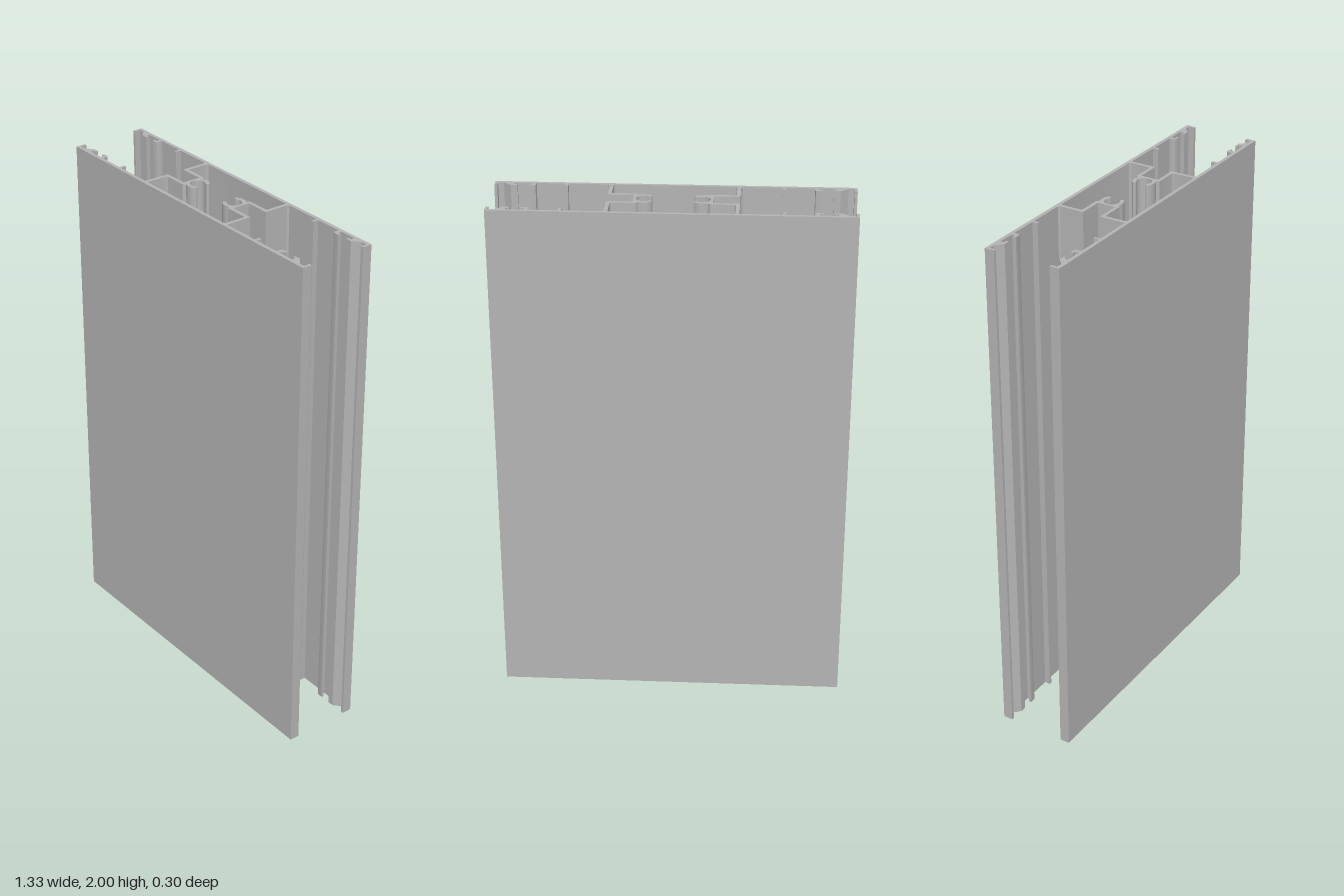
import * as THREE from 'three';
import { toCreasedNormals } from 'three/addons/utils/BufferGeometryUtils.js';

const HEIGHT = 2;
const rad = THREE.MathUtils.degToRad;

// points along an arc, angles in degrees
function arc(cx, cy, r, from, to, steps) {
  const pts = [];
  for (let i = 0; i <= steps; i++) {
    const a = rad(from + (to - from) * i / steps);
    pts.push([cx + r * Math.cos(a), cy + r * Math.sin(a)]);
  }
  return pts;
}

// closed ring from one quadrant, mirrored across both axes
function mirrorRing(quarter) {
  const back = [...quarter].reverse();
  return [
    ...quarter,
    ...back.map(([x, y]) => [-x, y]),
    ...quarter.map(([x, y]) => [-x, -y]),
    ...back.map(([x, y]) => [x, -y]),
  ].map(([x, y]) => new THREE.Vector2(x, y));
}

export function createModel() {
  const aluminium = new THREE.MeshStandardMaterial({ color: 0xb4b4b4 });
  aluminium.name = 'aluminium grey';

  // outer contour: side channel, rib, two clip hooks, edge lip, face plate
  const outer = [
    [0.145, 0.035], [0.241, 0.035],
    [0.241, 0.131], [0.247, 0.137],
    [0.393, 0.137], [0.393, 0.115], [0.404, 0.115], [0.404, 0.137],
    [0.511, 0.137], [0.511, 0.119], [0.513, 0.114], [0.518, 0.112],
    [0.539, 0.112], [0.539, 0.122], [0.528, 0.122], [0.525, 0.125], [0.525, 0.137],
    [0.592, 0.137], [0.592, 0.125], [0.589, 0.122], [0.579, 0.122], [0.579, 0.112],
    [0.604, 0.112], [0.632, 0.137],
    [0.654, 0.137], [0.654, 0.113], [0.665, 0.113], [0.665, 0.151],
  ];

  // central cavity: screw port with rounded arm tips, then the stepped web
  const portX = 0.107, tip = 128;
  const tipX = portX + 0.0355 * Math.cos(rad(tip));
  const tipY = 0.0355 * Math.sin(rad(tip));
  const cavity = [
    ...arc(portX, 0, 0.028, 5, tip, 12),
    ...arc(tipX, tipY, 0.0075, tip + 180, tip, 8).slice(1),
    ...arc(portX, 0, 0.043, tip, 65, 8).slice(1),
    [0.134, 0.049],
    ...arc(0.219, 0.057, 0.008, -90, 0, 4),
    ...arc(0.219, 0.129, 0.008, 0, 90, 4),
  ];

  const section = new THREE.Shape(mirrorRing(outer));
  section.holes.push(new THREE.Path(mirrorRing(cavity)));

  // stand the extrusion upright
  const extrusion = new THREE.ExtrudeGeometry(section, { depth: HEIGHT, bevelEnabled: false });
  extrusion.rotateX(-Math.PI / 2);

  const profile = new THREE.Mesh(toCreasedNormals(extrusion, rad(32)), aluminium);
  profile.name = 'extrudedProfile';

  const model = new THREE.Group();
  model.name = 'framePost';
  model.add(profile);
  return model;
}
